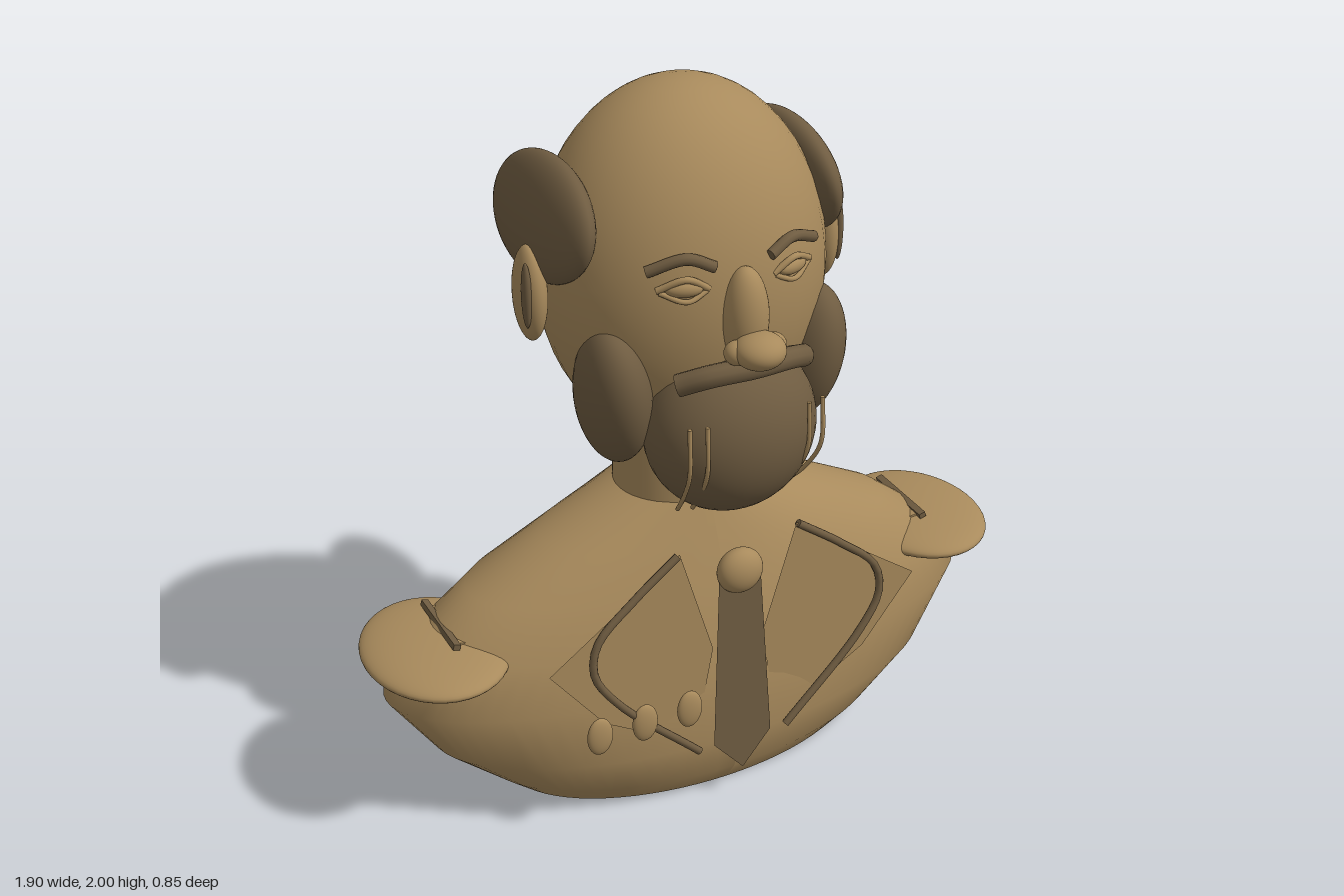
import * as THREE from 'three';

const bronze = new THREE.MeshStandardMaterial({ color: 0xa88a5c });
bronze.name = 'bronze';
bronze.side = THREE.DoubleSide;
const darkBronze = new THREE.MeshStandardMaterial({ color: 0x6f5c41 });
darkBronze.name = 'dark bronze';
darkBronze.side = THREE.DoubleSide;

export function createModel() {
  const model = new THREE.Group();
  model.name = 'bust';

  const add = (name, geometry, material, pos = [0, 0, 0], rot = [0, 0, 0]) => {
    const mesh = new THREE.Mesh(geometry, material);
    mesh.name = name;
    mesh.position.set(...pos);
    mesh.rotation.set(...rot);
    model.add(mesh);
    return mesh;
  };
  const ellipsoid = (name, material, pos, radii, rot) =>
    add(name, new THREE.SphereGeometry(1, 40, 28), material, pos, rot).scale.set(...radii);

  // Tube through points, with closed ends
  const tube = (name, material, points, radius) => {
    const pts = points.map(p => new THREE.Vector3(...p));
    const curve = new THREE.CatmullRomCurve3(pts);
    add(name, new THREE.TubeGeometry(curve, 28, radius, 10), material);
    [0, 1].forEach(t => {
      const cap = add(name + 'End', new THREE.CircleGeometry(radius, 10), material, curve.getPoint(t).toArray());
      cap.lookAt(curve.getPoint(t).addScaledVector(curve.getTangent(t), t ? 1 : -1));
    });
  };

  // Flat sheet whose depth follows a rule of its height
  const sheet = (name, material, outline, depthAt) => {
    const g = new THREE.ShapeGeometry(new THREE.Shape(outline.map(p => new THREE.Vector2(...p))));
    const p = g.attributes.position;
    for (let i = 0; i < p.count; i++) p.setZ(i, depthAt(p.getY(i)));
    g.computeVertexNormals();
    add(name, g, material);
  };

  // Torso: elliptical rings from top to bottom [y, half width, front z, back z]
  const rings = [
    [0.868, 0.195, 0.106, -0.236], [0.76, 0.42, 0.152, -0.29], [0.65, 0.64, 0.192, -0.34],
    [0.52, 0.81, 0.236, -0.38], [0.38, 0.893, 0.267, -0.408], [0.2, 0.77, 0.293, -0.424],
    [0.07, 0.622, 0.258, -0.388], [0, 0.542, 0.212, -0.345]
  ];
  const torso = new THREE.CylinderGeometry(1, 1, 1, 72, rings.length - 1, true);
  const tp = torso.attributes.position;
  for (let i = 0; i < tp.count; i++) {
    const [y, w, front, back] = rings[Math.floor(i / 73)];
    tp.setXYZ(i, tp.getX(i) * w, y, (front + back) / 2 + tp.getZ(i) * (front - back) / 2);
  }
  torso.computeVertexNormals();
  add('torso', torso, bronze);

  // Neck and head
  add('neck', new THREE.CylinderGeometry(0.195, 0.195, 0.24, 48), bronze, [0, 0.98, -0.065]).scale.z = 0.88;
  ellipsoid('head', bronze, [0, 1.5, -0.07], [0.388, 0.5, 0.355]);

  // Nose
  ellipsoid('noseBridge', bronze, [0, 1.49, 0.285], [0.06, 0.135, 0.063]);
  ellipsoid('noseTip', bronze, [0, 1.43, 0.362], [0.068, 0.047, 0.066]);

  // Beard and moustache
  ellipsoid('beard', darkBronze, [0, 1.15, 0.21], [0.235, 0.236, 0.19]);
  tube('moustache', darkBronze, [
    [-0.18, 1.332, 0.27], [-0.11, 1.362, 0.315], [0, 1.37, 0.335], [0.11, 1.362, 0.315], [0.18, 1.332, 0.27]
  ], 0.03);

  // Tie and knot
  sheet('tie', darkBronze, [[-0.062, 0.73], [-0.088, 0.2], [0, 0.1], [0.088, 0.2], [0.062, 0.73]],
    y => 0.307 - (y - 0.1) * 0.05);
  ellipsoid('tieKnot', bronze, [0, 0.735, 0.275], [0.066, 0.066, 0.044]);

  // Medals on the right breast
  [-0.43, -0.297, -0.163].forEach(x =>
    ellipsoid('medal', bronze, [x, 0.35, 0.3], [0.037, 0.058, 0.016]));

  for (const s of [-1, 1]) {
    // Hair, cheek whiskers and ears
    ellipsoid('sideHair', darkBronze, [s * 0.357, 1.67, -0.13], [0.068, 0.165, 0.265], [-0.12, s * -0.04, s * 0.16]);
    ellipsoid('whisker', darkBronze, [s * 0.278, 1.245, 0.095], [0.095, 0.21, 0.135], [0.28, 0, s * -0.12]);
    ellipsoid('ear', bronze, [s * 0.425, 1.495, -0.073], [0.041, 0.132, 0.067]);
    ellipsoid('innerEar', darkBronze, [s * 0.452, 1.51, -0.03], [0.013, 0.09, 0.018]);
    ellipsoid('nostril', bronze, [s * 0.05, 1.425, 0.34], [0.035, 0.032, 0.035]);

    // Eyes and brows
    ellipsoid('eye', bronze, [s * 0.152, 1.583, 0.25], [0.048, 0.022, 0.02], [0, s * 0.35, 0]);
    tube('upperLid', bronze, [[s * 0.09, 1.578, 0.264], [s * 0.15, 1.612, 0.263], [s * 0.215, 1.58, 0.224]], 0.009);
    tube('lowerLid', bronze, [[s * 0.095, 1.573, 0.264], [s * 0.15, 1.553, 0.265], [s * 0.21, 1.575, 0.228]], 0.007);
    tube('brow', darkBronze, [
      [s * 0.077, 1.635, 0.272], [s * 0.145, 1.662, 0.253], [s * 0.235, 1.628, 0.208]
    ], 0.015);

    // Beard strands
    [[0.145, 0.365], [0.19, 0.355]].forEach(([x, z]) => tube('beardStrand', bronze, [
      [s * x, 1.25, z], [s * x, 1.12, z], [s * x * 0.95, 1.03, z - 0.05], [s * x * 0.85, 0.945, z - 0.125]
    ], 0.006));

    // Lapel and its piping
    sheet('lapel', bronze, [
      [s * 0.175, 0.83], [s * 0.075, 0.5], [s * 0.13, 0.2], [s * 0.4, 0.36], [s * 0.555, 0.56]
    ], () => 0.267);
    tube('lapelPiping', darkBronze, [
      [s * 0.18, 0.825, 0.266], [s * 0.31, 0.73, 0.272], [s * 0.42, 0.63, 0.279], [s * 0.435, 0.54, 0.285],
      [s * 0.37, 0.43, 0.292], [s * 0.135, 0.2, 0.304]
    ], 0.011);

    // Epaulette with its bar
    ellipsoid('epaulette', bronze, [s * 0.755, 0.525, -0.042], [0.196, 0.046, 0.247]);
    add('epauletteBar', new THREE.BoxGeometry(0.02, 0.016, 0.24), darkBronze, [s * 0.725, 0.577, -0.068], [0, 0, s * 0.3]);
    add('epauletteStrip', new THREE.BoxGeometry(0.06, 0.008, 0.2), bronze, [s * 0.7, 0.568, -0.068], [0, 0, s * 0.2]);
  }

  return model;
}
